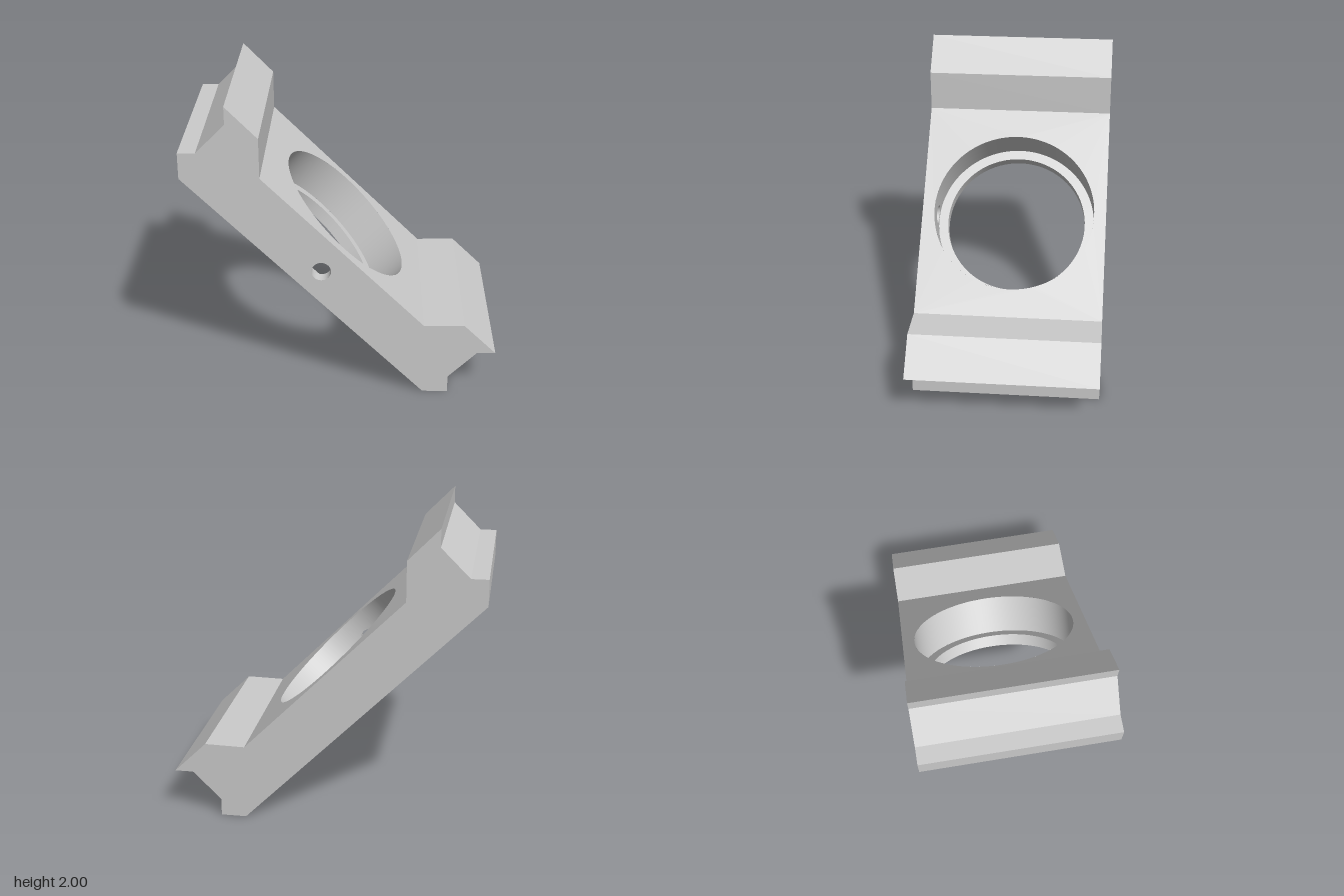
import * as THREE from 'three';

const HALF = 0.62;                   // half depth of the block along z
const CX = 0.015, CY = 1.015;        // bore centre on the plate's upper face
const R = 0.54, R2 = 0.476;          // wide and narrow bore radii
const STEP = -0.27, BOTTOM = -0.5 / Math.SQRT2; // ledge and underside depths
const PIN = { u: -0.02, w: -0.19, r: 0.0625 };  // side hole in plate coordinates
const SEG = 96;

// Side profile, clockwise; edges 6 and 13 are the plate's upper and lower faces
const PROFILE = [
  [-1, 1.53], [-1, 1.70], [-0.89, 1.70], [-0.705, 1.885], [-0.705, 2],
  [-0.505, 1.795], [-0.505, 1.535], [0.53, 0.5], [0.79, 0.505], [1, 0.3],
  [0.88, 0.3], [0.695, 0.115], [0.695, 0], [0.53, 0],
];

const alongPlate = ([x, y]) => (x - CX - (y - CY)) / Math.SQRT2;

function circleHole(x, y, r) {
  const path = new THREE.Path();
  path.absarc(x, y, r, 0, Math.PI * 2, true);
  return path;
}

function bufferFrom(positions, index) {
  const g = new THREE.BufferGeometry();
  g.setAttribute('position', new THREE.Float32BufferAttribute(positions, 3));
  if (index) g.setIndex(index);
  g.computeVertexNormals();
  return g;
}

// Flat walls that run along z for each profile edge except the bored faces
function edgeWalls() {
  const pos = [];
  PROFILE.forEach((a, i) => {
    if (i === 6 || i === 13) return;
    const b = PROFILE[(i + 1) % PROFILE.length];
    for (const [p, z] of [[a, 1], [b, 1], [b, -1], [a, 1], [b, -1], [a, -1]]) {
      pos.push(p[0], p[1], z * HALF);
    }
  });
  return bufferFrom(pos);
}

// Flat end cap, optionally pierced by the side hole
function endCap(pierced) {
  const shape = new THREE.Shape(PROFILE.map(([x, y]) => new THREE.Vector2(x, y)));
  if (pierced) {
    const x = CX + (PIN.u + PIN.w) / Math.SQRT2;
    const y = CY + (PIN.w - PIN.u) / Math.SQRT2;
    shape.holes.push(circleHole(x, y, PIN.r));
  }
  const g = new THREE.ShapeGeometry(shape, 32);
  if (!pierced) g.rotateY(Math.PI).scale(1, 1, 1);
  return g;
}

// Rectangle from u0 to u1 with a round opening
function boredFace(u0, u1, r) {
  const shape = new THREE.Shape([
    new THREE.Vector2(u0, -HALF), new THREE.Vector2(u1, -HALF),
    new THREE.Vector2(u1, HALF), new THREE.Vector2(u0, HALF),
  ]);
  shape.holes.push(circleHole(0, 0, r));
  return new THREE.ShapeGeometry(shape, SEG);
}

// Piece of the wide bore around the side hole: rings from circle to rectangle
function piercedPatch(halfWidth) {
  const corners = [[-1, STEP], [1, STEP], [1, 0], [-1, 0]];
  const n = 8, rings = 5, count = 4 * n, pos = [], index = [];
  for (let k = 0; k < count; k++) {
    const a = corners[Math.floor(k / n)], b = corners[(Math.floor(k / n) + 1) % 4];
    const t = (k % n) / n;
    const du = (a[0] + (b[0] - a[0]) * t) * halfWidth;
    const dw = a[1] + (b[1] - a[1]) * t - PIN.w;
    const d = Math.hypot(du, dw);
    for (let j = 0; j <= rings; j++) {
      const f = PIN.r / d + (1 - PIN.r / d) * (j / rings);
      const u = PIN.u + du * f;
      pos.push(u, PIN.w + dw * f, Math.sqrt(R * R - u * u));
      if (j < rings) {
        const p = k * (rings + 1) + j, q = ((k + 1) % count) * (rings + 1) + j;
        index.push(p, q, p + 1, q, q + 1, p + 1);
      }
    }
  }
  return bufferFrom(pos, index);
}

// Side hole tube whose inner end follows the curve of the bore
function sideHoleTube() {
  const g = new THREE.CylinderGeometry(PIN.r, PIN.r, 1, 32, 1, true);
  g.rotateX(Math.PI / 2);
  const p = g.attributes.position;
  for (let i = 0; i < p.count; i++) {
    const u = p.getX(i) + PIN.u;
    p.setXYZ(i, u, p.getY(i) + PIN.w, p.getZ(i) > 0 ? HALF : Math.sqrt(R * R - u * u));
  }
  return g;
}

export function createModel() {
  const model = new THREE.Group();
  model.name = 'slantedBracket';
  const solid = new THREE.MeshStandardMaterial({ color: 0xcccccc });
  const open = new THREE.MeshStandardMaterial({ color: 0xcccccc, side: THREE.DoubleSide });
  const add = (parent, name, geometry, material = solid) => {
    const mesh = new THREE.Mesh(geometry, material);
    mesh.name = name;
    parent.add(mesh);
    return mesh;
  };

  // Outer body
  add(model, 'edgeWalls', edgeWalls());
  add(model, 'frontCap', endCap(true)).position.z = HALF;
  const back = endCap(false);
  // The cap was turned about y, so mirror its outline back and reverse its faces
  back.scale(-1, 1, 1);
  const order = back.index.array;
  for (let i = 0; i < order.length; i += 3) {
    [order[i], order[i + 1]] = [order[i + 1], order[i]];
  }
  back.computeVertexNormals();
  add(model, 'backCap', back).position.z = -HALF;

  // Plate frame: x along the slope, y out of the upper face
  const plate = new THREE.Group();
  plate.name = 'boredPlate';
  plate.position.set(CX, CY, 0);
  plate.rotation.z = -Math.PI / 4;
  model.add(plate);

  const top = boredFace(alongPlate(PROFILE[6]), alongPlate(PROFILE[7]), R);
  add(plate, 'upperFace', top.rotateX(-Math.PI / 2));
  const under = boredFace(alongPlate(PROFILE[0]), alongPlate(PROFILE[13]), R2);
  add(plate, 'lowerFace', under.rotateX(Math.PI / 2)).position.y = BOTTOM;

  // Stepped bore
  const w = 0.1;
  const a = Math.asin((PIN.u - w) / R), b = Math.asin((PIN.u + w) / R);
  add(plate, 'wideBore', new THREE.CylinderGeometry(
    R, R, -STEP, SEG, 1, true, b, Math.PI * 2 - (b - a)), open).position.y = STEP / 2;
  add(plate, 'wideBorePatch', piercedPatch(w), open);
  const ledge = new THREE.RingGeometry(R2, R, SEG).rotateX(-Math.PI / 2);
  add(plate, 'boreLedge', ledge).position.y = STEP;
  add(plate, 'narrowBore', new THREE.CylinderGeometry(
    R2, R2, STEP - BOTTOM, SEG, 1, true), open).position.y = (STEP + BOTTOM) / 2;

  // Small hole from the front side into the bore
  add(plate, 'sideHole', sideHoleTube(), open);
  return model;
}
